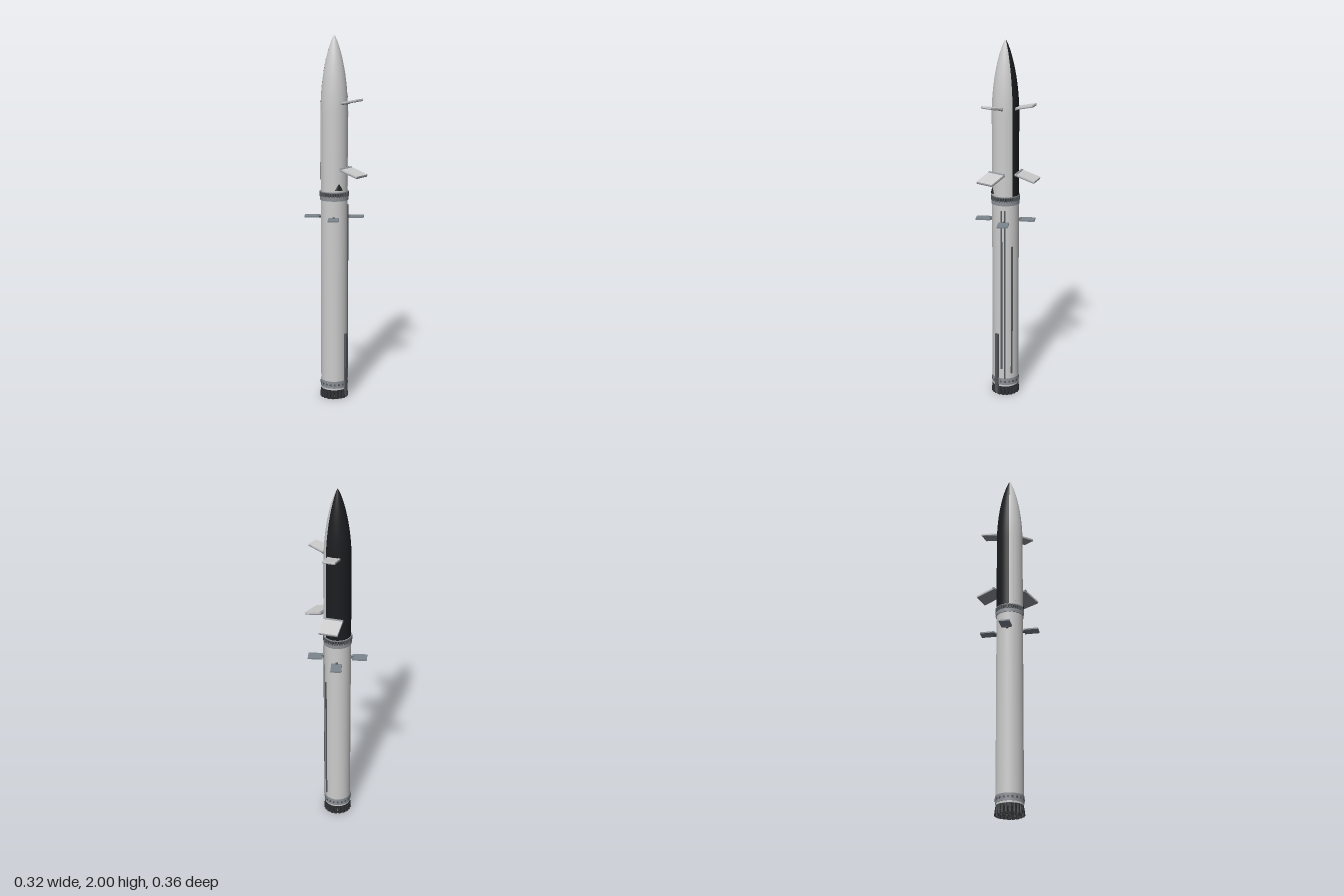
import * as THREE from 'three';

const R = 0.073;
const RAD = Math.PI / 180;
const mat = (color) => new THREE.MeshStandardMaterial({ color, side: THREE.DoubleSide });

export function createModel() {
  const model = new THREE.Group();
  const steel = mat(0xcccccc), tile = mat(0x1c1d20), dark = mat(0x2c2e31);
  const grey = mat(0x8b9096), finGrey = mat(0x7c858e), trim = mat(0x55595d);

  const add = (name, geometry, material, parent = model) => {
    const mesh = new THREE.Mesh(geometry, material);
    mesh.name = name;
    parent.add(mesh);
    return mesh;
  };
  // Group whose local +x points outward at an angle measured from +x towards +z
  const radial = (name, degrees, y = 0) => {
    const g = new THREE.Group();
    g.name = name;
    g.rotation.y = -degrees * RAD;
    g.position.y = y;
    model.add(g);
    return g;
  };
  const band = (name, rTop, rBottom, y0, y1, material, open = false) => {
    const m = add(name, new THREE.CylinderGeometry(rTop, rBottom, y1 - y0, 64, 1, open), material);
    m.position.y = (y0 + y1) / 2;
    return m;
  };

  // Booster body with aft band
  band('boosterTank', R, R, 0.05, 1.13, steel);
  band('aftBand', 0.0745, 0.0745, 0.06, 0.1, grey);
  for (let i = 0; i < 20; i++) {
    const g = radial('aftFitting', i * 18, 0.08);
    add('fitting', new THREE.BoxGeometry(0.005, 0.01, 0.009), trim, g).position.x = 0.0755;
  }

  // Engine bells in three rings
  const bell = [[0.003, 0.062], [0.0045, 0.05], [0.008, 0.03], [0.0105, 0.012], [0.0115, 0]]
    .map(([x, y]) => new THREE.Vector2(x, y));
  const bellGeometry = new THREE.LatheGeometry(bell, 16);
  for (const [count, radius] of [[20, 0.068], [10, 0.042], [3, 0.015]]) {
    for (let i = 0; i < count; i++) {
      const g = radial('engine', (i + 0.5) * 360 / count);
      add('engineBell', bellGeometry, dark, g).position.x = radius;
    }
  }
  band('engineBulkhead', 0.068, 0.068, 0.03, 0.05, dark);

  // Booster raceways: angle, bottom, top, width, outer radius
  for (const [angle, y0, y1, width, outer] of [
    [33, 0.16, 1.09, 0.008, 0.078], [19, 0.1, 1.09, 0.008, 0.077],
    [-12, 0.13, 0.885, 0.01, 0.077], [54, 0.005, 0.37, 0.018, 0.083],
  ]) {
    const g = radial('boosterRaceway', angle, (y0 + y1) / 2);
    add('raceway', new THREE.BoxGeometry(outer - 0.068, y1 - y0, width), trim, g)
      .position.x = (outer + 0.068) / 2;
  }

  // Four steering fins
  for (let i = 0; i < 4; i++) {
    const g = radial('steeringFin', 22.5 + i * 90, 1.025);
    add('finPanel', new THREE.BoxGeometry(0.08, 0.008, 0.058), finGrey, g).position.x = 0.121;
    const shaft = add('finShaft', new THREE.CylinderGeometry(0.008, 0.008, 0.026, 16), trim, g);
    shaft.rotation.z = Math.PI / 2;
    shaft.position.x = 0.077;
  }

  // Vented ring between the stages
  band('interstageBand', 0.077, 0.077, 1.118, 1.142, grey);
  band('interstageCore', 0.07, 0.07, 1.14, 1.17, dark);
  band('interstageRim', 0.077, 0.077, 1.161, 1.167, grey);
  for (let i = 0; i < 36; i++) {
    const g = radial('interstagePost', i * 10, 1.151);
    add('post', new THREE.BoxGeometry(0.008, 0.024, 0.006), trim, g).position.x = 0.0755;
  }

  // Ship hull: steel front and dark heat shield behind
  const hull = [new THREE.Vector2(R, 1.163), new THREE.Vector2(R, 1.4)];
  for (let i = 0; i <= 28; i++) {
    const t = Math.sin((i / 28) * Math.PI / 2);
    hull.push(new THREE.Vector2(i === 28 ? 0 : R * Math.pow(1 - t * t, 0.8), 1.6 + 0.4 * t));
  }
  add('shipHull', new THREE.LatheGeometry(hull, 42, 255 * RAD, 210 * RAD), steel);
  add('heatShield', new THREE.LatheGeometry(hull, 30, 105 * RAD, 150 * RAD), tile);

  // Ship side raceways
  for (const angle of [8, 172]) {
    const g = radial('shipRaceway', angle, 1.395);
    add('raceway', new THREE.BoxGeometry(0.008, 0.41, 0.014), steel, g).position.x = 0.0715;
  }

  // Small dark fairing above the ring on the front
  const fairing = add('frontFairing', new THREE.ConeGeometry(0.023, 0.038, 20), tile);
  fairing.scale.z = 0.35;
  fairing.position.set(0, 1.196, 0.072);

  // Two pairs of tilted flaps: inner and outer radius, their heights, width, thickness
  for (const [name, r0, r1, y0, y1, width, thick] of [
    ['aftFlap', 0.07, 0.179, 1.292, 1.258, 0.104, 0.013],
    ['foreFlap', 0.062, 0.161, 1.643, 1.663, 0.068, 0.012],
  ]) {
    for (const side of [1, -1]) {
      const g = radial(name, side * 54.7);
      const length = Math.hypot(r1 - r0, y1 - y0);
      const panel = new THREE.Group();
      panel.name = name + 'Panel';
      panel.position.set((r0 + r1) / 2, (y0 + y1) / 2, 0);
      panel.rotation.z = Math.atan2(y1 - y0, r1 - r0);
      g.add(panel);
      add('flapSlab', new THREE.BoxGeometry(length, thick * 0.6, width), steel, panel)
        .position.y = thick * 0.2;
      add('flapUnderside', new THREE.BoxGeometry(length, thick * 0.4, width), grey, panel)
        .position.y = -thick * 0.3;
      const hinge = add('flapHinge', new THREE.CylinderGeometry(0.008, 0.008, width, 16), grey, g);
      hinge.rotation.x = Math.PI / 2;
      hinge.position.set(r0 + 0.006, y0, 0);
    }
  }
  return model;
}
